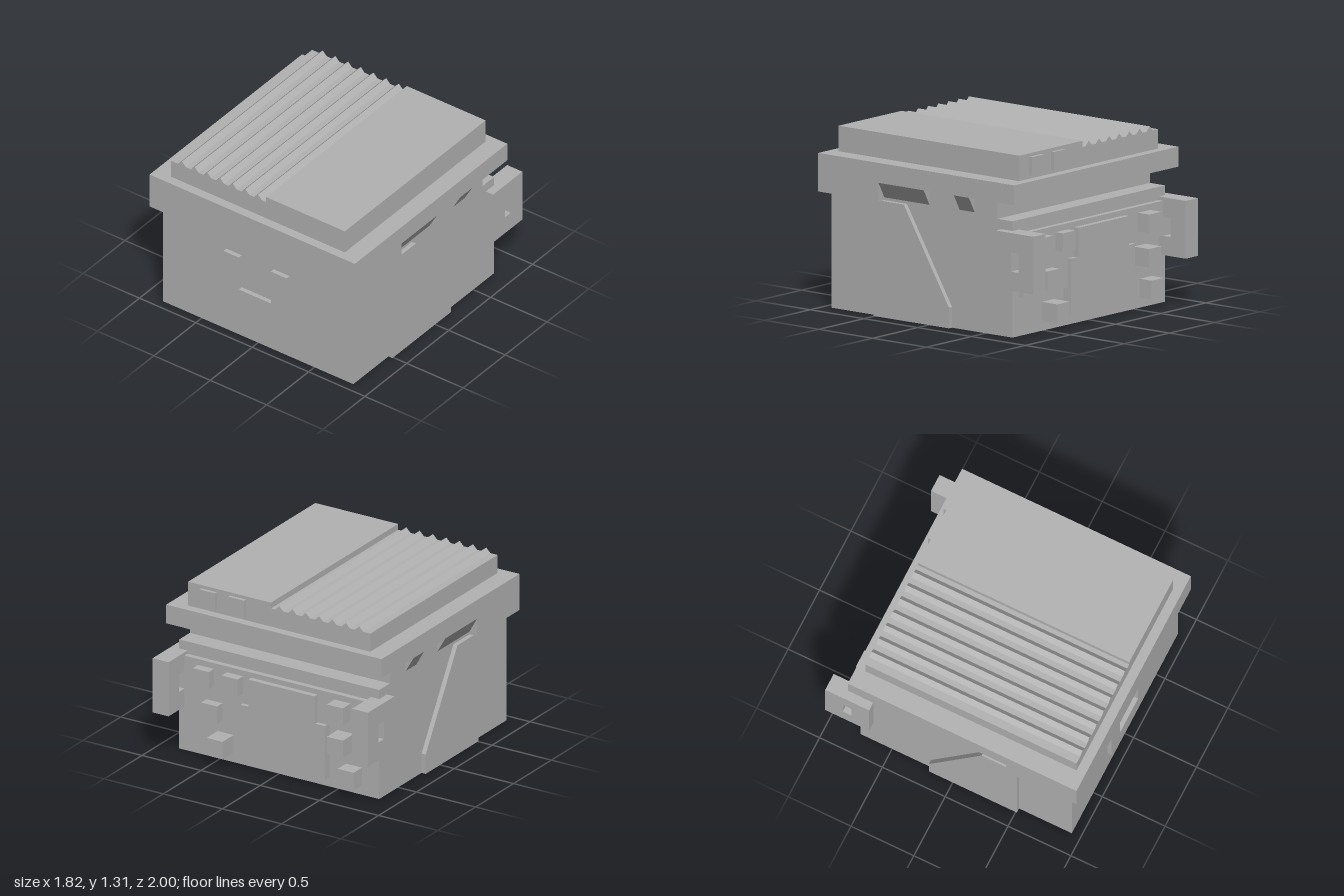
import * as THREE from 'three';

export function createModel() {
  const model = new THREE.Group();
  model.name = 'crate';
  const grey = new THREE.MeshStandardMaterial({ color: 0xb2b2b2 });
  grey.name = 'grey';

  function add(name, geometry) {
    const mesh = new THREE.Mesh(geometry, grey);
    mesh.name = name;
    model.add(mesh);
    return mesh;
  }

  // Box given by its limits on each axis
  function box(name, x0, x1, y0, y1, z0, z1) {
    const g = new THREE.BoxGeometry(x1 - x0, y1 - y0, z1 - z0);
    return add(name, g.translate((x0 + x1) / 2, (y0 + y1) / 2, (z0 + z1) / 2));
  }

  const shapeOf = (points) => new THREE.Shape(points.map(([a, b]) => new THREE.Vector2(a, b)));

  // Outline in x,y extruded from z0 to z1
  function prismZ(name, points, z0, z1) {
    const g = new THREE.ExtrudeGeometry(shapeOf(points), { depth: z1 - z0, bevelEnabled: false });
    return add(name, g.translate(0, 0, z0));
  }

  // Outline in z,y extruded from x0 to x1, with an optional hole
  function prismX(name, points, x0, x1, hole) {
    const shape = shapeOf(points);
    if (hole) shape.holes.push(new THREE.Path(hole.map(([a, b]) => new THREE.Vector2(a, b))));
    const g = new THREE.ExtrudeGeometry(shape, { depth: x1 - x0, bevelEnabled: false });
    return add(name, g.rotateY(-Math.PI / 2).translate(x1, 0, 0));
  }

  // Body with a stepped rear edge at the top
  prismX('body', [[-0.75, 0], [0.93, 0], [0.93, 0.845], [0.44, 0.845], [0.44, 0.98],
    [-0.61, 0.98], [-0.61, 0.845], [-0.75, 0.845]], -0.845, 0.845);

  // Lid, deeper at the front
  prismX('lid', [[1, 0.845], [1, 1.125], [-0.82, 1.125], [-0.82, 0.98], [0.44, 0.98], [0.44, 0.845]],
    -0.91, 0.91);

  // Raised top: smooth on one half, ridged on the other
  const profile = [[-0.77, 1.125], [0.77, 1.125], [0.77, 1.31], [0.07, 1.31], [0.07, 1.265]];
  for (let i = 0; i < 7; i++) {
    const x = -i * 0.1125;
    profile.push([x + 0.035, 1.265], [x, 1.3], [x - 0.035, 1.265]);
  }
  profile.push([-0.77, 1.265]);
  prismZ('ridgedTop', profile, -0.75, 0.93);

  // Side panels, under-lid wedges and rear brackets
  for (const s of [1, -1]) {
    const span = (a, b) => (s > 0 ? [a, b] : [-b, -a]);
    prismX('sidePanel', [[0.51, 0], [0.51, 0.845], [0.23, 0.845], [-0.19, 0.15], [-0.19, 0]],
      ...span(0.84, 0.88));
    for (const [z0, z1] of [[0.02, 0.44], [-0.4, -0.26]]) {
      prismZ('lidWedge', [[s * 0.845, 0.865], [s * 0.91, 0.98], [s * 0.845, 0.98]], z0, z1);
    }
    prismX('rearBracket', [[-1, 0.355], [-0.65, 0.355], [-0.65, 0.775], [-1, 0.775]],
      ...span(0.775, 0.91),
      [[-0.86, 0.495], [-0.86, 0.635], [-0.79, 0.635], [-0.79, 0.495]]);
  }

  // Front handle
  prismZ('frontHandle', [[-0.28, 0.285], [0.28, 0.285], [0.28, 0.705], [0.14, 0.705],
    [0.14, 0.425], [-0.145, 0.425], [-0.145, 0.705], [-0.28, 0.705]], 0.92, 0.965);

  // Rear plates
  prismZ('rearPlate', [[-0.775, 0.495], [0.28, 0.495], [0.28, 0.285], [0.775, 0.285],
    [0.775, 0.75], [-0.775, 0.75]], -0.79, -0.74);
  box('rearPanel', -0.43, 0.28, 0.075, 0.495, -0.82, -0.74);
  prismZ('rearUpperPanel', [[-0.35, 0.49], [0.21, 0.49], [0.21, 0.71], [-0.35, 0.71]], -0.83, -0.75);

  // Rear blocks: lower x, lower y, rearmost z
  const size = 0.135;
  for (const [x, y, z] of [
    [0.525, 0.57, -0.86], [0.28, 0.57, -0.86], [0.455, 0.32, -0.86], [0.385, 0.075, -0.895],
    [-0.63, 0.57, -0.895], [-0.63, 0.32, -0.895], [-0.7, 0.075, -0.86],
  ]) box('rearBlock', x, x + size, y, y + size, z, -0.74);

  // Small tabs on the rear of the raised top
  for (const x of [0.28, 0.525]) box('topTab', x, x + size, 1.15, 1.285, -0.775, -0.74);

  return model;
}
